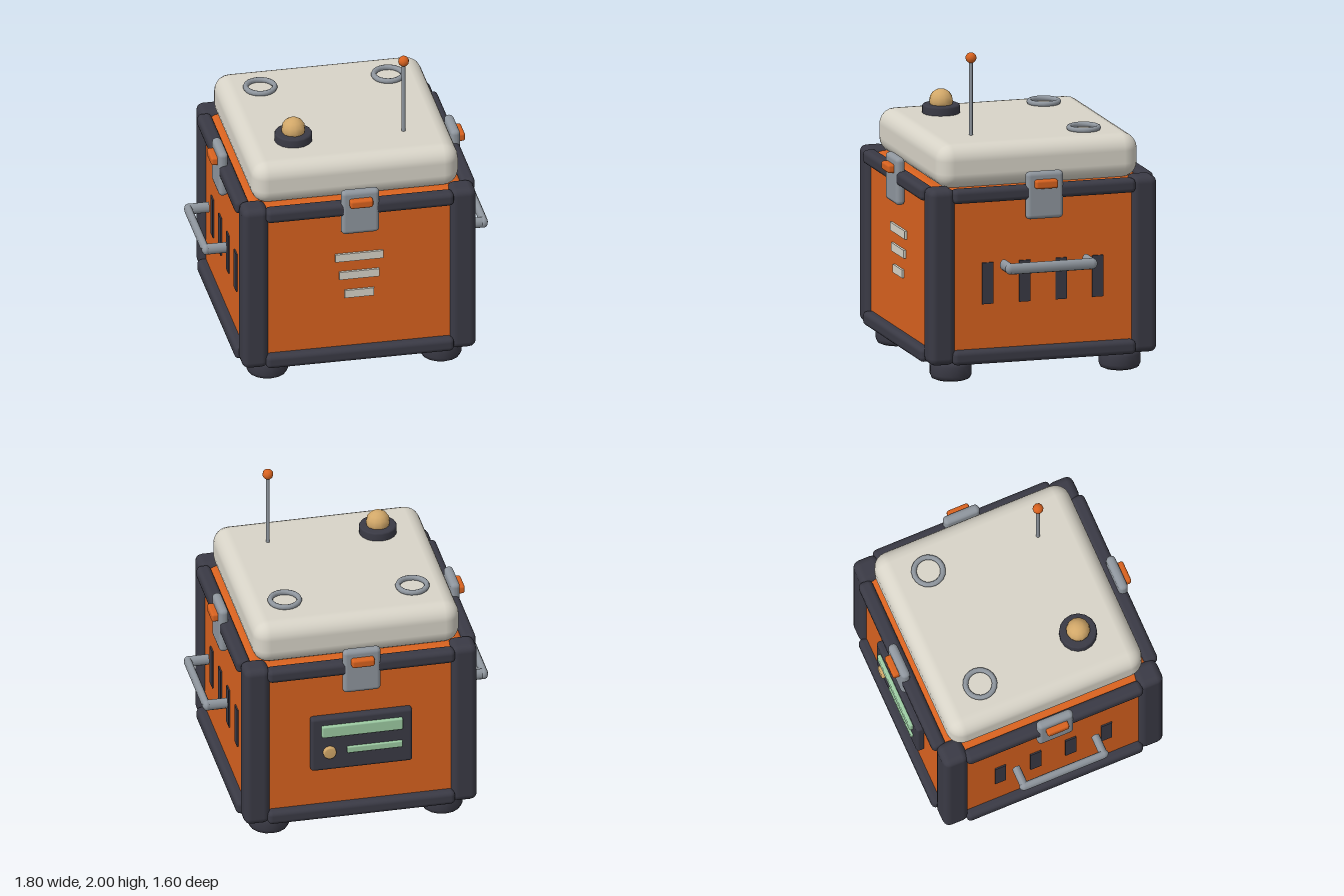
import * as THREE from 'three';
import { RoundedBoxGeometry } from 'three/addons/geometries/RoundedBoxGeometry.js';

const paint = (name, color) => {
  const m = new THREE.MeshStandardMaterial({ color });
  m.name = name;
  return m;
};

export function createModel() {
  const model = new THREE.Group();
  model.name = 'fieldCase';

  const orange = paint('orange', 0xd8621f);
  const dark = paint('charcoal', 0x3a3a45);
  const cream = paint('cream', 0xd8d4c8);
  const steel = paint('steel', 0x8f969e);
  const tan = paint('amber', 0xd2a869);
  const green = paint('paleGreen', 0x9ccaa2);

  const add = (name, geo, mat, x, y, z, parent = model) => {
    const mesh = new THREE.Mesh(geo, mat);
    mesh.name = name;
    mesh.position.set(x, y, z);
    parent.add(mesh);
    return mesh;
  };
  const rbox = (w, h, d, r, seg = 2) => new RoundedBoxGeometry(w, h, d, seg, r);
  // Upright disc with softened rims
  const puck = (r, h, b, sides = 16) => new THREE.LatheGeometry([
    [0, 0], [r - b, 0], [r - b * 0.3, b * 0.3], [r, b],
    [r, h - b], [r - b * 0.3, h - b * 0.3], [r - b, h], [0, h],
  ].map(([x, y]) => new THREE.Vector2(x, y)), sides);

  // Body and lid
  add('body', rbox(1.4, 1.08, 1.4, 0.08, 3), orange, 0, 0.67, 0);
  add('lid', rbox(1.3, 0.28, 1.3, 0.1, 3), cream, 0, 1.34, 0);

  // Corner posts and feet
  const postGeo = rbox(0.165, 1.11, 0.165, 0.045);
  const footGeo = puck(0.13, 0.125, 0.035);
  for (const sx of [-1, 1]) for (const sz of [-1, 1]) {
    add('cornerPost', postGeo, dark, sx * 0.652, 0.675, sz * 0.652);
    add('foot', footGeo, dark, sx * 0.545, 0, sz * 0.545);
  }

  // Rails and a latch on each of the four sides
  const railGeo = rbox(1.18, 0.09, 0.09, 0.03);
  const latchGeo = rbox(0.24, 0.3, 0.06, 0.028);
  const buttonGeo = rbox(0.145, 0.055, 0.06, 0.015);
  for (let i = 0; i < 4; i++) {
    const side = new THREE.Group();
    side.name = 'sideTrim';
    side.rotation.y = i * Math.PI / 2;
    model.add(side);
    add('lowerRail', railGeo, dark, 0, 0.165, 0.71, side);
    add('upperRail', railGeo, dark, 0, 1.18, 0.71, side);
    add('latch', latchGeo, steel, 0, 1.16, 0.729, side);
    add('latchButton', buttonGeo, orange, 0, 1.235, 0.768, side);
  }

  // Front stripes
  [[0.83, 0.3], [0.705, 0.25], [0.575, 0.185]].forEach(([y, w]) =>
    add('frontStripe', new THREE.BoxGeometry(w, 0.052, 0.02), cream, 0, y, 0.705));

  // Vents and carrying handles on both sides
  const ventGeo = new THREE.BoxGeometry(0.02, 0.26, 0.072);
  const armGeo = new THREE.CylinderGeometry(0.035, 0.035, 0.13, 10);
  const gripGeo = new THREE.CylinderGeometry(0.035, 0.035, 0.53, 10);
  const elbowGeo = new THREE.SphereGeometry(0.035, 10, 8);
  for (const s of [-1, 1]) {
    for (const z of [-0.353, -0.117, 0.117, 0.357]) {
      add('vent', ventGeo, dark, s * 0.699, 0.62, z);
    }
    const handle = new THREE.Group();
    handle.name = 'handle';
    handle.position.set(s * 0.745, 0.737, 0);
    model.add(handle);
    for (const sz of [-1, 1]) {
      const arm = add('handleArm', armGeo, steel, s * 0.065, 0, sz * 0.265, handle);
      arm.rotation.z = Math.PI / 2;
      arm.scale.z = 0.75;
      add('handleElbow', elbowGeo, steel, s * 0.128, 0, sz * 0.263, handle).scale.x = 0.75;
    }
    const grip = add('handleGrip', gripGeo, steel, s * 0.13, 0, 0, handle);
    grip.rotation.x = Math.PI / 2;
    grip.scale.x = 0.7;
  }

  // Control panel on the back
  add('controlPanel', rbox(0.64, 0.375, 0.06, 0.02), dark, 0, 0.655, -0.716);
  add('screen', rbox(0.51, 0.08, 0.04, 0.01), green, 0, 0.752, -0.748);
  add('readout', rbox(0.35, 0.045, 0.03, 0.008), green, -0.08, 0.605, -0.746);
  add('knob', puck(0.042, 0.05, 0.01, 12), tan, 0.205, 0.6, -0.72).rotation.x = -Math.PI / 2;

  // Beacon
  add('beaconBase', puck(0.117, 0.075, 0.012), dark, -0.335, 1.46, 0.325);
  add('beaconDome', new THREE.SphereGeometry(0.075, 12, 8), tan, -0.335, 1.555, 0.325);

  // Lid rings
  const ringGeo = new THREE.TorusGeometry(0.09, 0.017, 8, 20).rotateX(Math.PI / 2);
  for (const s of [-1, 1]) add('lidRing', ringGeo, steel, s * 0.402, 1.492, -0.36);

  // Antenna
  add('antennaRod', new THREE.CylinderGeometry(0.012, 0.012, 0.5, 8), steel, 0.352, 1.71, 0.352);
  add('antennaTip', new THREE.SphereGeometry(0.034, 10, 8), orange, 0.352, 1.966, 0.352);

  return model;
}
